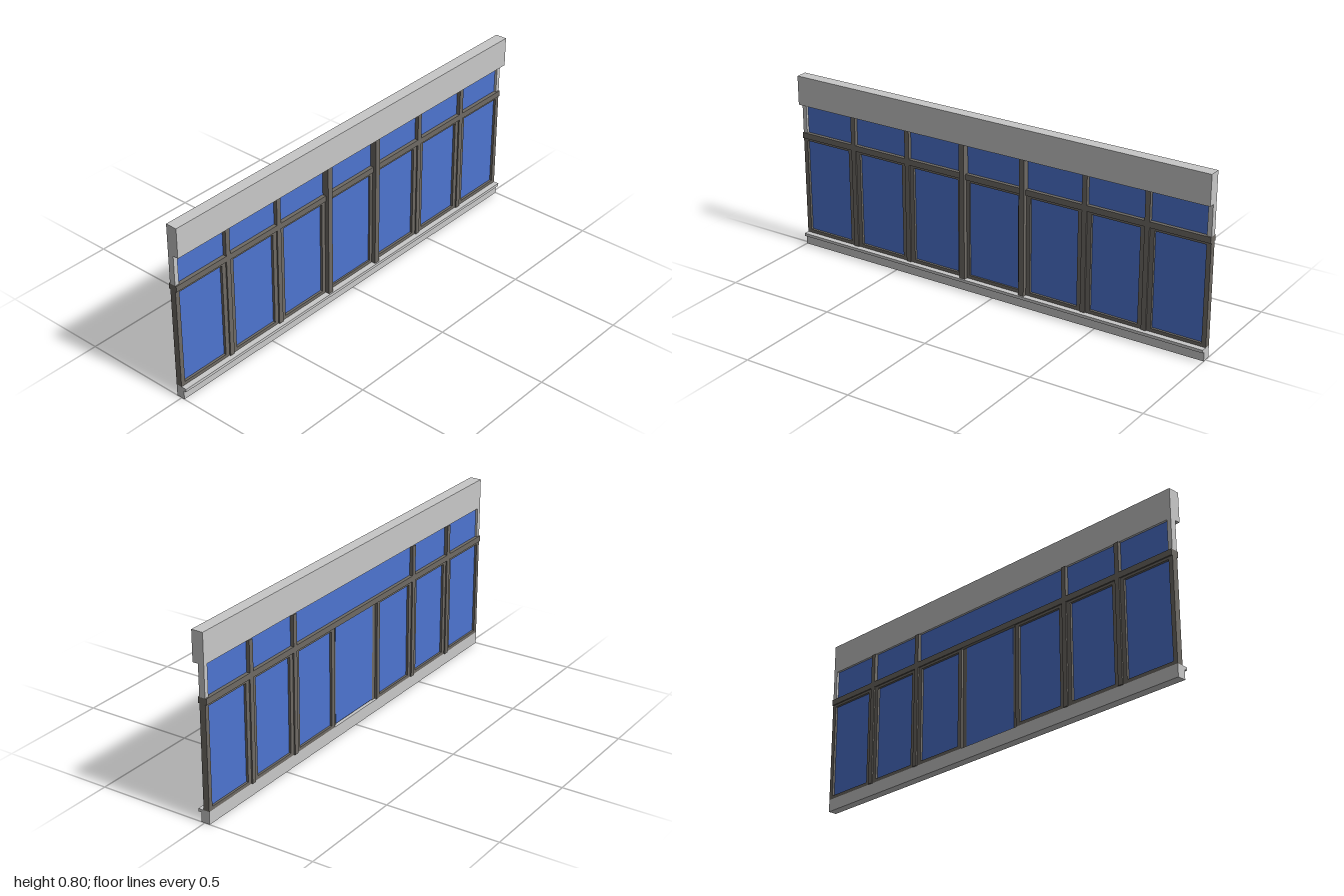
import * as THREE from 'three';

export function createModel() {
  const model = new THREE.Group();
  model.name = 'storefrontWall';
  const material = (name, color) => {
    const m = new THREE.MeshStandardMaterial({ color });
    m.name = name;
    return m;
  };
  const stone = material('pale grey masonry', 0xc8c8c8);
  const metal = material('dark bronze frame', 0x6e6a64);
  const glass = material('blue glass', 0x4d74d0);

  // Box given by its limits on each axis
  const box = (name, mat, x0, x1, y0, y1, z0, z1, parent = model) => {
    const mesh = new THREE.Mesh(new THREE.BoxGeometry(x1 - x0, y1 - y0, z1 - z0), mat);
    mesh.position.set((x0 + x1) / 2, (y0 + y1) / 2, (z0 + z1) / 2);
    mesh.name = name;
    parent.add(mesh);
  };

  // Sill with projecting lip, and header beam: one profile each, run along z
  const run = (name, points) => {
    const shape = new THREE.Shape(points.map(p => new THREE.Vector2(...p)));
    const mesh = new THREE.Mesh(new THREE.ExtrudeGeometry(shape, { depth: 2, bevelEnabled: false }), stone);
    mesh.position.z = -1;
    mesh.name = name;
    model.add(mesh);
  };
  run('sill', [[-0.024, 0], [0.015, 0], [0.015, 0.042], [0.028, 0.042], [0.028, 0.055], [-0.024, 0.055]]);
  run('header', [[-0.024, 0.668], [0.028, 0.668], [0.028, 0.8], [-0.024, 0.8]]);

  // Transom bar across the full width
  box('transomBar', metal, -0.03, 0.009, 0.507, 0.533, -1, 1);

  // Masonry jambs beside the upper lights
  for (const s of [-1, 1]) {
    const a = s * 0.98, b = s;
    box('upperJamb', stone, -0.024, 0.003, 0.533, 0.668, Math.min(a, b), Math.max(a, b));
  }

  // Mullions: the pair beside the door projects further outward
  const lines = [-0.722, -0.437, -0.148, 0.148, 0.437, 0.722];
  for (const z of lines) {
    const door = Math.abs(z) < 0.2;
    const half = door ? 0.0125 : 0.011;
    box(door ? 'doorMullion' : 'mullion', metal, door ? -0.013 : -0.03, door ? 0.022 : 0.009,
      0.055, 0.668, z - half, z + half);
  }

  // Upper and lower glazing for each bay
  const edges = [-1, ...lines, 1];
  for (let i = 0; i < edges.length - 1; i++) {
    const z0 = edges[i], z1 = edges[i + 1];
    const isDoor = i === 3;
    box('upperGlass', glass, -0.014, -0.008, 0.533, 0.668, Math.max(z0, -0.98), Math.min(z1, 0.98));

    const frame = new THREE.Group();
    frame.name = isDoor ? 'door' : 'windowFrame';
    model.add(frame);
    const a = z0 + (i === 0 ? 0 : 0.011), b = z1 - (i === 6 ? 0 : 0.011);
    const w = isDoor ? 0.016 : 0.02;
    const back = isDoor ? -0.009 : -0.024, front = 0.003;
    box('stile', metal, back, front, 0.055, 0.507, a, a + w, frame);
    box('stile', metal, back, front, 0.055, 0.507, b - w, b, frame);
    box('bottomRail', metal, back, front, 0.055, 0.07, a + w, b - w, frame);
    box('topRail', metal, back, front, 0.496, 0.507, a + w, b - w, frame);
    box('pane', glass, -0.014, -0.008, 0.06, 0.507,
      isDoor ? a : a + w, isDoor ? b : b - w, frame);
    // Clear the door leaf opening on its outer face
    if (isDoor) box('doorPane', glass, -0.008, -0.005, 0.07, 0.496, a + w, b - w, frame);
  }
  return model;
}
